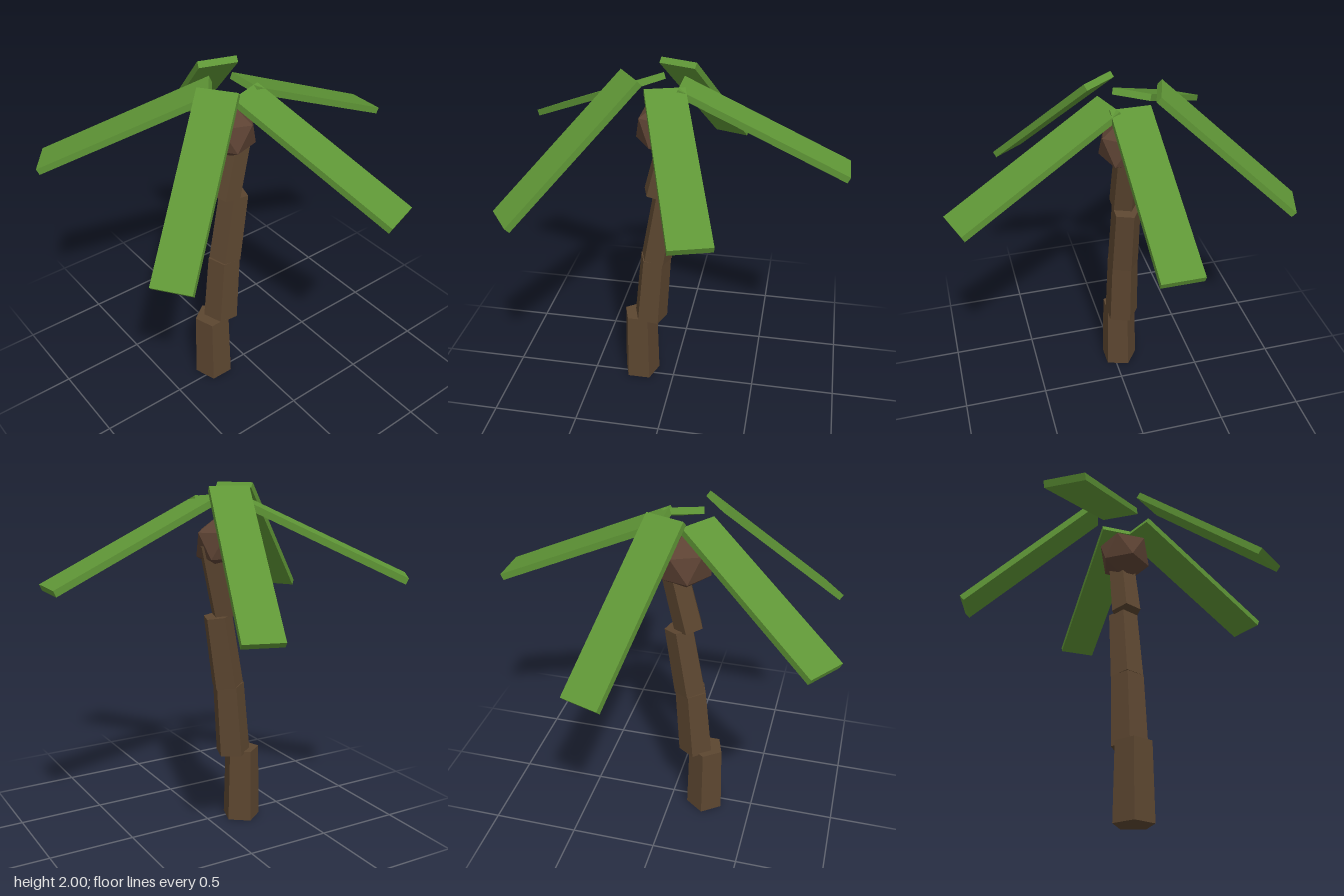
import * as THREE from 'three';

export function createModel() {
  const model = new THREE.Group();
  const mat = (name, color) => {
    const m = new THREE.MeshStandardMaterial({ color, flatShading: true });
    m.name = name;
    return m;
  };
  const bark = mat('bark brown', 0x5c4630);
  const nut = mat('crown brown', 0x5c4233);
  const leaf = mat('leaf green', 0x5f9636);
  const axisZ = -0.037;

  // Trunk: tapering five-sided segments, each leaning further; [bottom x, bottom y, top x, top y]
  const radii = [0.114, 0.104, 0.095, 0.086, 0.078];
  const segments = [
    [-0.2125, 0, -0.2125, 0.44],
    [-0.15, 0.426, -0.115, 0.85],
    [-0.11, 0.849, -0.042, 1.267],
    [-0.098, 1.27, 0.0, 1.68],
  ];
  segments.forEach(([x0, y0, x1, y1], i) => {
    const length = Math.hypot(x1 - x0, y1 - y0);
    const geo = new THREE.CylinderGeometry(radii[i + 1], radii[i], length, 5);
    geo.rotateY(Math.PI); // flat face to the front
    const mesh = new THREE.Mesh(geo, bark);
    mesh.name = `trunkSegment${i + 1}`;
    mesh.position.set((x0 + x1) / 2, (y0 + y1) / 2, axisZ);
    mesh.rotation.z = -Math.atan2(x1 - x0, y1 - y0);
    model.add(mesh);
  });

  // Faceted ball at the top of the trunk
  const crown = new THREE.Mesh(new THREE.IcosahedronGeometry(0.161, 0), nut);
  crown.name = 'crownBall';
  crown.position.set(-0.067, 1.675, axisZ);
  crown.rotation.z = -0.6;
  model.add(crown);

  // Five flat fronds around the crown, alternating shallow and steep droop
  const frondGeo = new THREE.BoxGeometry(1.01, 0.037, 0.217);
  for (let i = 0; i < 5; i++) {
    const steep = i === 2 || i === 4;
    const frond = new THREE.Group();
    frond.name = `frond${i + 1}`;
    frond.position.set(-0.066, 0, axisZ);
    frond.rotation.y = (-i * Math.PI * 2) / 5;
    const blade = new THREE.Mesh(frondGeo, leaf);
    blade.name = 'frondBlade';
    blade.position.set(0.554, steep ? 1.65 : 1.7075, 0);
    blade.rotation.z = -THREE.MathUtils.degToRad(steep ? 41.5 : 24.6);
    frond.add(blade);
    model.add(frond);
  }
  return model;
}
